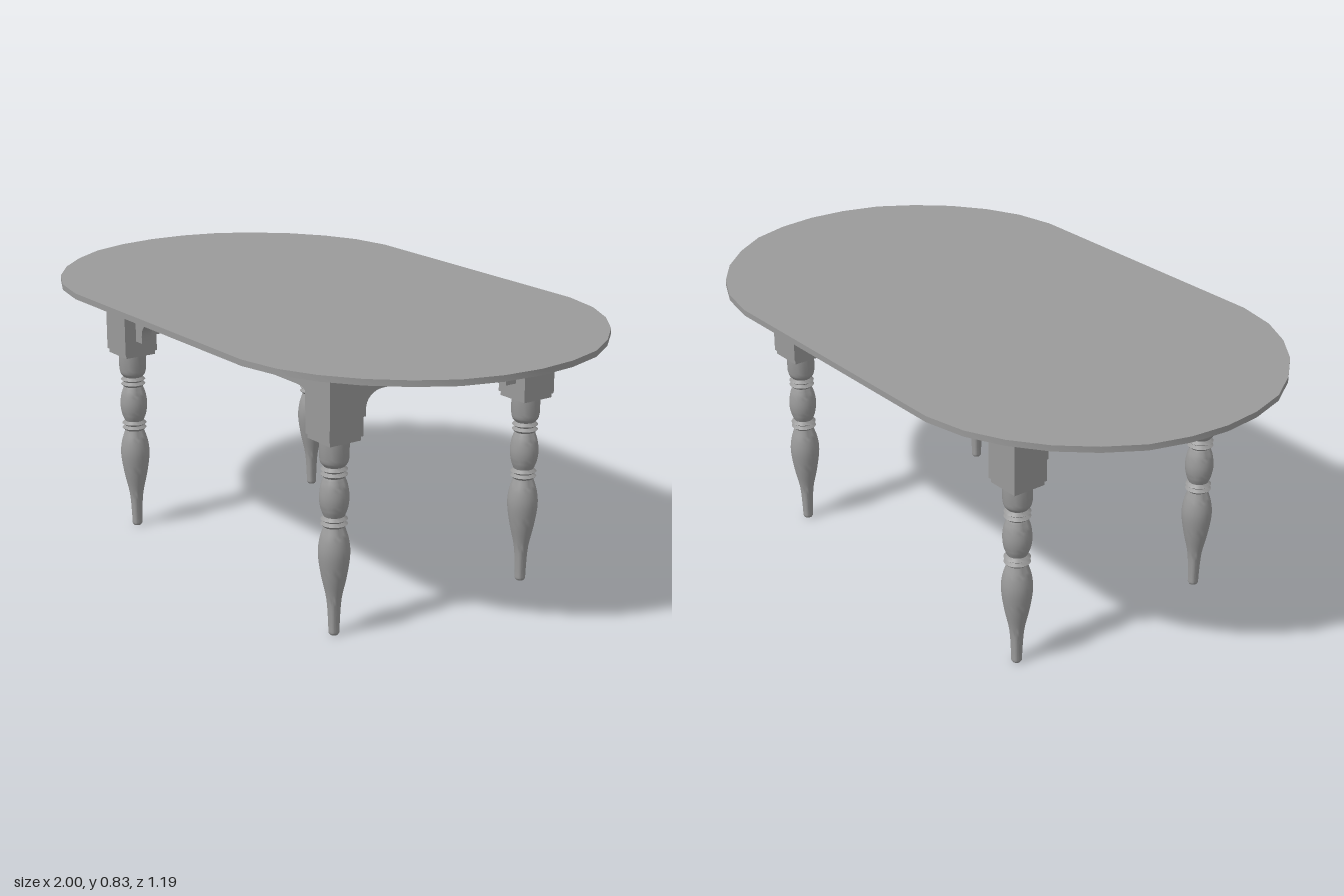
import * as THREE from 'three';
import { toCreasedNormals } from 'three/addons/utils/BufferGeometryUtils.js';

const material = new THREE.MeshStandardMaterial({ color: 0x9a9a9a });
const LEG_X = 0.549, LEG_Z = 0.352, BLOCK = 0.115;
const TOP_UNDERSIDE = 0.815, BLOCK_BOTTOM = 0.598;

function addMesh(parent, name, geometry, x = 0, y = 0, z = 0) {
  const mesh = new THREE.Mesh(geometry, material);
  mesh.name = name;
  mesh.position.set(x, y, z);
  parent.add(mesh);
  return mesh;
}

// Flat slab with straight long sides and rounded ends, smooth around the rim
function tabletopGeometry() {
  const quarter = [[1, 0], [0.988, 0.12], [0.952, 0.24], [0.885, 0.347],
    [0.8, 0.442], [0.7, 0.517], [0.59, 0.57], [0.46, 0.597]];
  const half = [...quarter, ...quarter.map(([x, z]) => [-x, z]).reverse()];
  const outline = [...half, ...half.slice(1, -1).map(([x, z]) => [x, -z]).reverse()];
  const shape = new THREE.Shape(outline.map(([x, z]) => new THREE.Vector2(x, z)));
  const slab = new THREE.ExtrudeGeometry(shape, { depth: 0.018, bevelEnabled: false });
  return toCreasedNormals(slab.rotateX(-Math.PI / 2), 0.6);
}

// Rail between two blocks, with an arched cut-out below
function apronGeometry(half, tab, curve) {
  const low = 0.638, spring = 0.66, arch = 0.711;
  const inner = half - tab;
  const s = new THREE.Shape();
  s.moveTo(-half, low);
  s.lineTo(-inner, low);
  s.lineTo(-inner, spring);
  s.bezierCurveTo(-inner, spring + 0.03, -inner + curve * 0.45, arch, -inner + curve, arch);
  s.lineTo(inner - curve, arch);
  s.bezierCurveTo(inner - curve * 0.45, arch, inner, spring + 0.03, inner, spring);
  s.lineTo(inner, low);
  s.lineTo(half, low);
  s.lineTo(half, TOP_UNDERSIDE);
  s.lineTo(-half, TOP_UNDERSIDE);
  const g = new THREE.ExtrudeGeometry(s, { depth: 0.036, bevelEnabled: false, curveSegments: 8 });
  return toCreasedNormals(g.translate(0, 0, -0.018), 0.6);
}

// Turned leg: smooth swellings separated by pairs of sharp rings
function turnedLegGeometry() {
  const smooth = (pts, n) => new THREE.SplineCurve(pts.map(([r, y]) => new THREE.Vector2(r, y))).getPoints(n);
  const rings = (top) => [[0.03, 0], [0.039, 0.009], [0.029, 0.016], [0.039, 0.024], [0.03, 0.032]]
    .map(([r, d]) => new THREE.Vector2(r, top - d)).reverse();
  const profile = [
    new THREE.Vector2(0, 0), new THREE.Vector2(0.012, 0),
    ...smooth([[0.016, 0.006], [0.017, 0.04], [0.022, 0.11], [0.037, 0.18],
      [0.046, 0.245], [0.042, 0.29], [0.031, 0.326]], 24),
    ...rings(0.361),
    ...smooth([[0.031, 0.363], [0.039, 0.385], [0.043, 0.416], [0.039, 0.45], [0.031, 0.474]], 14),
    ...rings(0.508),
    ...smooth([[0.031, 0.51], [0.039, 0.519], [0.043, 0.537]], 5),
    new THREE.Vector2(0.043, 0.587),
  ];
  return toCreasedNormals(new THREE.LatheGeometry(profile, 24), 0.6);
}

export function createModel() {
  const table = new THREE.Group();
  table.name = 'diningTable';
  addMesh(table, 'tabletop', tabletopGeometry(), 0, TOP_UNDERSIDE, 0);

  // Four legs, each a square block, a collar and a turned post
  const legGeo = turnedLegGeometry();
  const blockGeo = new THREE.BoxGeometry(BLOCK, TOP_UNDERSIDE - BLOCK_BOTTOM, BLOCK);
  const collarGeo = new THREE.BoxGeometry(0.106, 0.013, 0.106);
  for (const sx of [-1, 1]) for (const sz of [-1, 1]) {
    const leg = new THREE.Group();
    leg.name = (sz > 0 ? 'front' : 'back') + (sx > 0 ? 'Left' : 'Right') + 'Leg';
    leg.position.set(sx * LEG_X, 0, sz * LEG_Z);
    addMesh(leg, 'turnedPost', legGeo);
    addMesh(leg, 'collar', collarGeo, 0, BLOCK_BOTTOM - 0.0065, 0);
    addMesh(leg, 'cornerBlock', blockGeo, 0, (TOP_UNDERSIDE + BLOCK_BOTTOM) / 2, 0);
    table.add(leg);
  }

  // Aprons centred between the blocks
  const longApron = apronGeometry(LEG_X - BLOCK / 2, 0.036, 0.055);
  const shortApron = apronGeometry(LEG_Z - BLOCK / 2, 0.038, 0.06);
  for (const s of [-1, 1]) {
    addMesh(table, s > 0 ? 'frontApron' : 'backApron', longApron, 0, 0, s * LEG_Z);
    addMesh(table, s > 0 ? 'leftApron' : 'rightApron', shortApron, s * LEG_X, 0, 0).rotation.y = Math.PI / 2;
  }
  return table;
}
